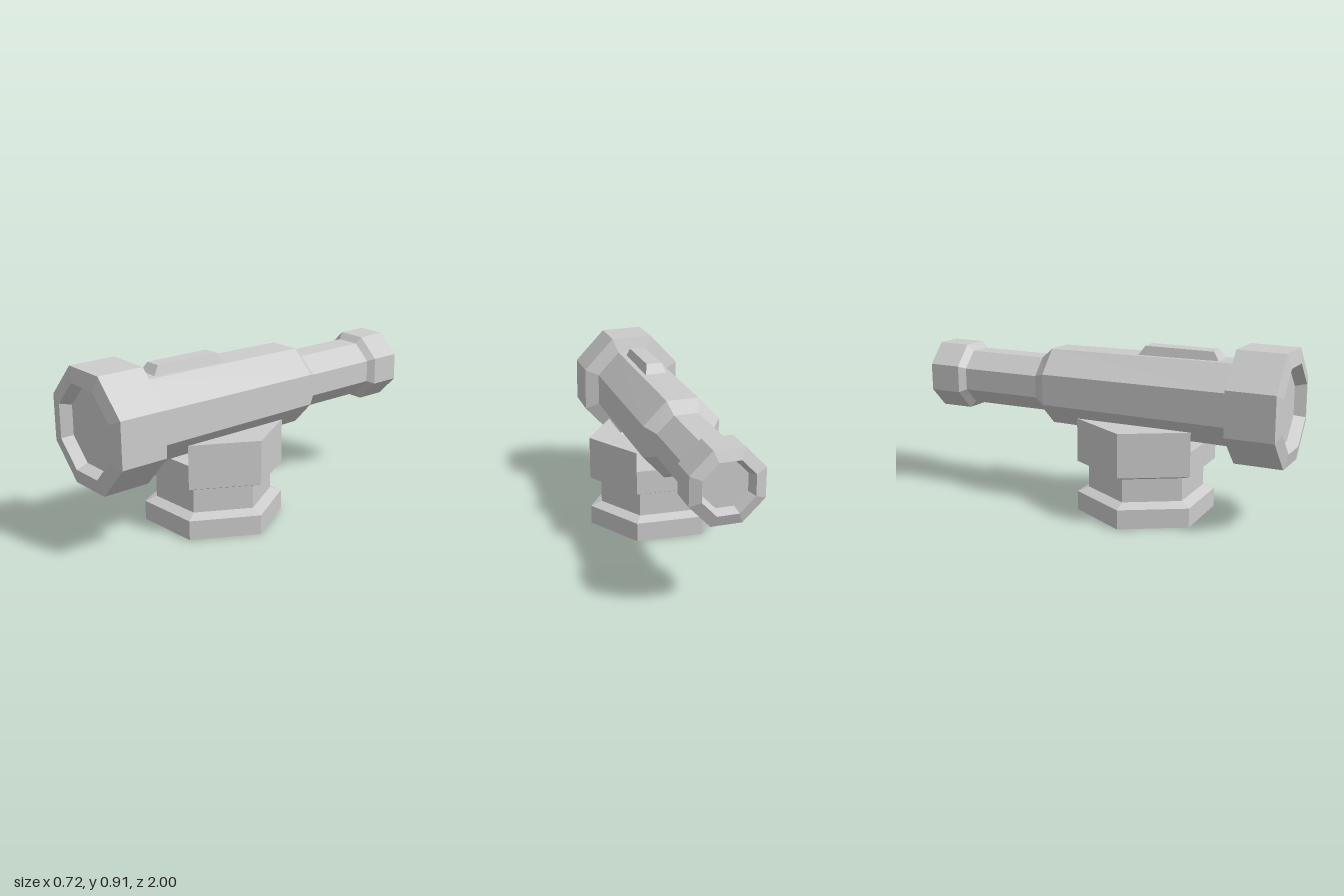
import * as THREE from 'three';

const grey = new THREE.MeshStandardMaterial({ color: 0xcccccc, flatShading: true });
const greyOpen = new THREE.MeshStandardMaterial({ color: 0xcccccc, flatShading: true, side: THREE.DoubleSide });

// Slightly skewed octagon, counter-clockwise seen from +z, half extents of 1
const half = [[1, -0.42], [0.99, 0.38], [0.39, 0.975], [-0.44, 1]];
const octagon = [...half, ...half.map(([x, y]) => [-x, -y])];

// Skin of rings along z: each station is [z, half width, half height]; both ends are capped
function loft(section, stations) {
  const pos = [], idx = [], n = section.length;
  for (const [z, w, h] of stations) for (const [x, y] of section) pos.push(x * w, y * h, z);
  for (let s = 0; s < stations.length - 1; s++) {
    for (let i = 0; i < n; i++) {
      const a = s * n + i, b = s * n + (i + 1) % n;
      idx.push(a, a + n, b, b, a + n, b + n);
    }
  }
  const last = (stations.length - 1) * n;
  for (let i = 1; i < n - 1; i++) {
    idx.push(0, i, i + 1);
    idx.push(last, last + i + 1, last + i);
  }
  const g = new THREE.BufferGeometry();
  g.setAttribute('position', new THREE.Float32BufferAttribute(pos, 3));
  g.setIndex(idx);
  const flat = g.toNonIndexed();
  flat.computeVertexNormals();
  return flat;
}

export function createModel() {
  const model = new THREE.Group();
  const add = (name, geometry, material = grey, parent = model) => {
    const mesh = new THREE.Mesh(geometry, material);
    mesh.name = name;
    parent.add(mesh);
    return mesh;
  };

  // Tube from the recessed front lens to the recessed eyepiece
  const tube = add('barrel', loft(octagon, [
    [0.945, 0.178, 0.188],
    [1.0, 0.203, 0.213],
    [0.985, 0.273, 0.288],
    [0.735, 0.273, 0.288],
    [0.71, 0.2, 0.212],
    [-0.28, 0.196, 0.201],
    [-0.35, 0.147, 0.144],
    [-0.78, 0.147, 0.144],
    [-0.81, 0.178, 0.178],
    [-0.98, 0.178, 0.178],
    [-1.0, 0.125, 0.125],
    [-0.95, 0.105, 0.105],
  ]));
  tube.position.y = 0.622;

  // Bevelled rail on top of the tube
  const rail = new THREE.BoxGeometry(0.12, 0.065, 0.455);
  const p = rail.attributes.position;
  for (let i = 0; i < p.count; i++) {
    if (p.getY(i) > 0) p.setXYZ(i, p.getX(i) * 0.7, p.getY(i), p.getZ(i) * 0.8);
  }
  rail.computeVertexNormals();
  add('topRail', rail).position.set(-0.004, 0.842, 0.415);

  // Hexagonal mount with a waist, open underneath
  const mount = new THREE.Group();
  mount.name = 'mount';
  mount.position.z = 0.225;
  model.add(mount);
  const profile = [[0.36, 0], [0.36, 0.1], [0.3, 0.123], [0.3, 0.243], [0.36, 0.265], [0.36, 0.39], [0, 0.39]]
    .map(([r, y]) => new THREE.Vector2(r, y));
  add('base', new THREE.LatheGeometry(profile, 6, Math.PI / 2), greyOpen, mount);

  // Raised triangular cheeks on both sides of the cradle
  for (const side of [1, -1]) {
    const tri = new THREE.Shape([
      new THREE.Vector2(side * 0.18, -0.312),
      new THREE.Vector2(side * 0.36, 0),
      new THREE.Vector2(side * 0.18, 0.312),
    ]);
    const cheek = new THREE.ExtrudeGeometry(tri, { depth: 0.102, bevelEnabled: false });
    cheek.rotateX(-Math.PI / 2);
    add(side > 0 ? 'leftCheek' : 'rightCheek', cheek, grey, mount).position.y = 0.39;
  }
  return model;
}
